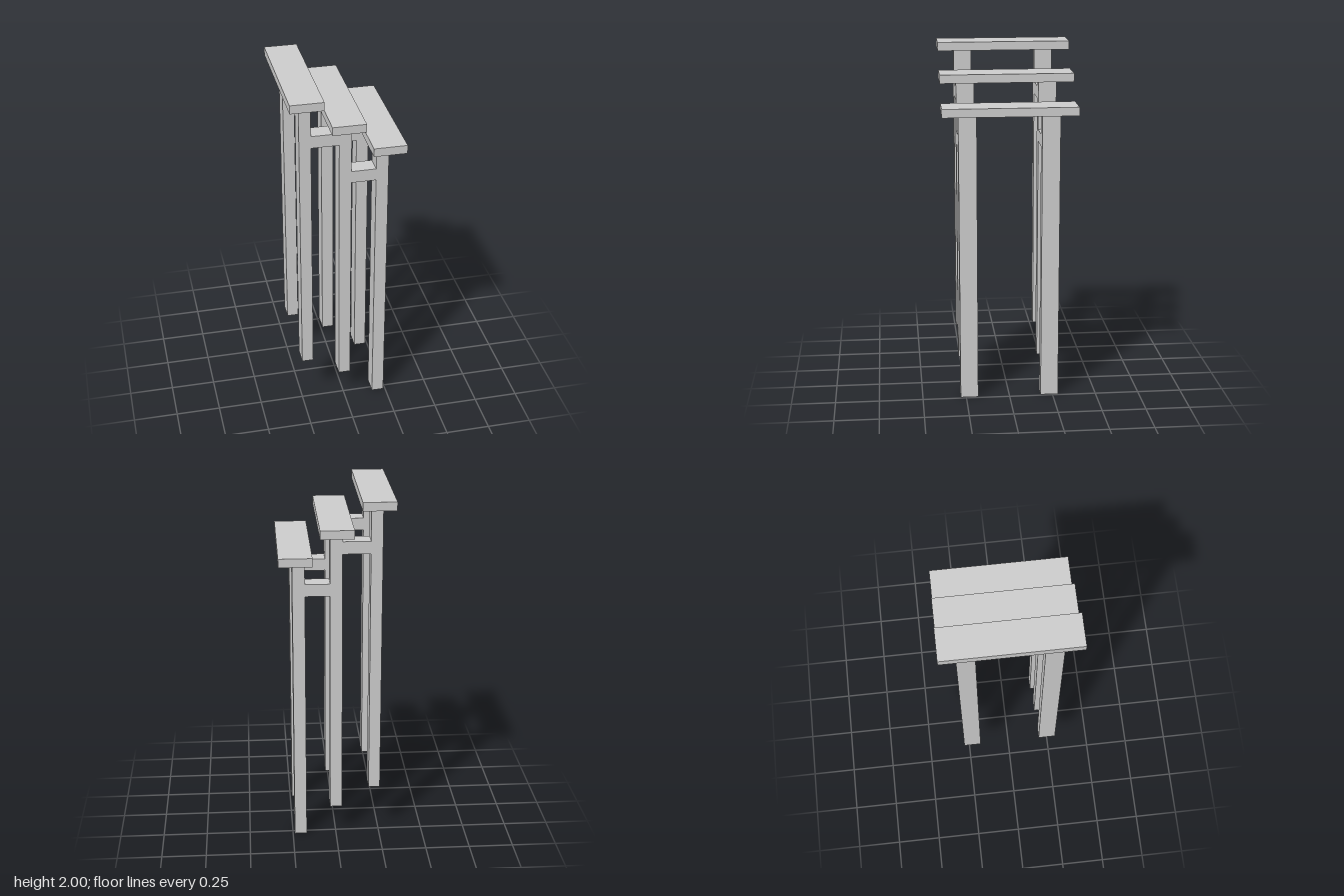
import * as THREE from 'three';

export function createModel() {
  const model = new THREE.Group();
  const material = new THREE.MeshStandardMaterial({ color: 0xcccccc, flatShading: true });

  // Box given by its extents along each axis
  function box(name, [x0, x1], [y0, y1], [z0, z1]) {
    const mesh = new THREE.Mesh(new THREE.BoxGeometry(x1 - x0, y1 - y0, z1 - z0), material);
    mesh.position.set((x0 + x1) / 2, (y0 + y1) / 2, (z0 + z1) / 2);
    mesh.name = name;
    model.add(mesh);
  }

  const thickness = 0.048;
  const steps = [
    { tread: [-0.316, -0.133], post: [-0.253, -0.188], top: 2.0, bottom: 0.29 },
    { tread: [-0.092, 0.092], post: [-0.035, 0.033], top: 1.85, bottom: 0.17 },
    { tread: [0.132, 0.316], post: [0.17, 0.239], top: 1.7, bottom: 0 },
  ];
  const braceHeights = [[1.692, 1.762], [1.456, 1.525]];
  const postRows = { front: [0.181, 0.282], back: [-0.282, -0.181] };

  for (const [i, step] of steps.entries()) {
    // Flat tread
    box('tread', step.tread, [step.top - thickness, step.top], [-0.374, 0.374]);
    for (const [row, z] of Object.entries(postRows)) {
      // Post under the tread
      box(`${row}Post`, step.post, [step.bottom, step.top - thickness], z);
      // Short brace to the next post
      if (i < 2) box(`${row}Brace`, [step.post[1], steps[i + 1].post[0]], braceHeights[i], z);
    }
  }
  return model;
}
